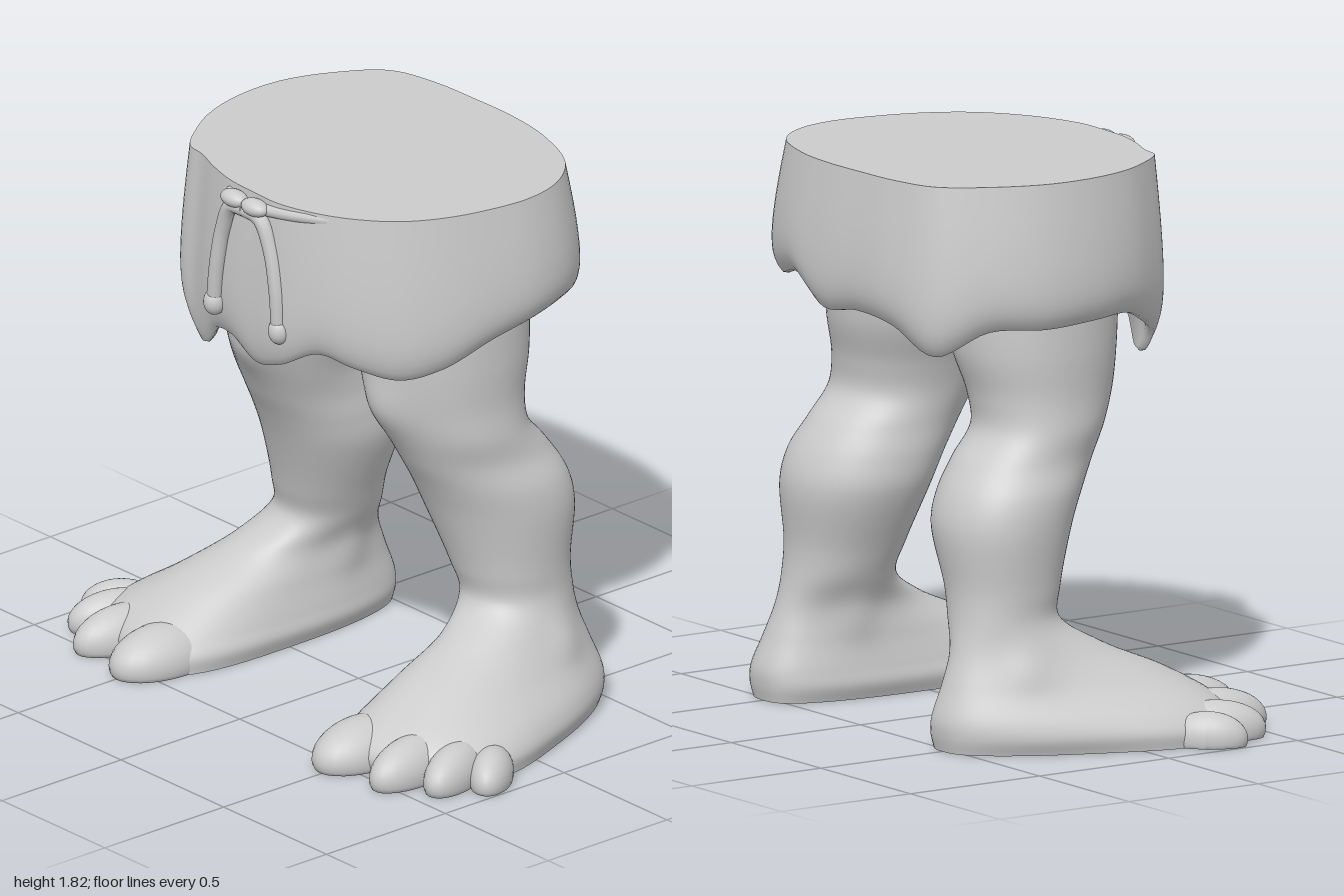
import * as THREE from 'three';

const material = new THREE.MeshStandardMaterial({ color: 0xcccccc, roughness: 0.8 });
const V = (x, y, z) => new THREE.Vector3(x, y, z);
const lerp = THREE.MathUtils.lerp;

function addMesh(parent, name, geometry) {
  const mesh = new THREE.Mesh(geometry, material);
  mesh.name = name;
  parent.add(mesh);
}

// Smooth skin over a stack of closed rings, all with the same point count
function loft(rings) {
  const n = rings[0].length, index = [];
  for (let r = 0; r < rings.length - 1; r++) {
    for (let i = 0; i < n; i++) {
      const a = r * n + i, b = r * n + (i + 1) % n;
      index.push(a, b, a + n, b, b + n, a + n);
    }
  }
  const geometry = new THREE.BufferGeometry().setFromPoints(rings.flat());
  geometry.setIndex(index);
  geometry.computeVertexNormals();
  return geometry;
}

// Flat lid between a ring and its middle
function lid(ring, facesUp) {
  const centre = ring.reduce((sum, p) => sum.add(p), V(0, 0, 0)).divideScalar(ring.length);
  const middle = ring.map(() => centre);
  return loft(facesUp ? [ring, middle] : [middle, ring]);
}

// Ellipsoid that is cut flat where it meets the ground
function blob(parent, name, [x, y, z], [rx, ry, rz], turn = 0) {
  const geometry = new THREE.SphereGeometry(1, 28, 20);
  geometry.scale(rx, ry, rz).rotateY(turn).translate(x, y, z);
  const pos = geometry.attributes.position;
  for (let i = 0; i < pos.count; i++) pos.setY(i, Math.max(0, pos.getY(i)));
  geometry.computeVertexNormals();
  addMesh(parent, name, geometry);
}

// Leg sections: y, zBack, zFront, xBack, xFront, half width at back and front
const LEG = [
  [0.00, -0.53, 0.44, 0.50, 0.66, 0.165, 0.33],
  [0.05, -0.54, 0.455, 0.50, 0.66, 0.19, 0.335],
  [0.10, -0.54, 0.43, 0.50, 0.65, 0.19, 0.305],
  [0.20, -0.505, 0.28, 0.495, 0.58, 0.17, 0.21],
  [0.30, -0.47, 0.06, 0.485, 0.52, 0.15, 0.155],
  [0.40, -0.45, -0.08, 0.465, 0.455, 0.16, 0.16],
  [0.50, -0.445, -0.065, 0.45, 0.43, 0.18, 0.18],
  [0.70, -0.465, 0.00, 0.425, 0.39, 0.235, 0.22],
  [0.80, -0.44, 0.045, 0.42, 0.38, 0.235, 0.22],
  [0.90, -0.38, 0.10, 0.405, 0.37, 0.215, 0.205],
  [1.00, -0.30, 0.145, 0.40, 0.36, 0.215, 0.21],
  [1.10, -0.30, 0.18, 0.38, 0.345, 0.225, 0.22],
  [1.25, -0.335, 0.21, 0.35, 0.325, 0.255, 0.25],
  [1.60, -0.345, 0.225, 0.32, 0.31, 0.28, 0.27],
];

// Soft bony swellings: centre, reach, push
const BUMPS = [
  [V(0.32, 1.09, 0.18), 0.11, V(0, 0, 0.035)],
  [V(0.34, 0.27, -0.27), 0.08, V(-0.02, 0, 0)],
  [V(0.64, 0.26, -0.30), 0.08, V(0.02, 0, 0)],
];

// Toes from big to small: centre, radii, outward turn
const TOES = [
  [[0.49, 0.03, 0.40], [0.12, 0.11, 0.20], 0.03],
  [[0.70, 0.03, 0.375], [0.092, 0.105, 0.19], 0.15],
  [[0.82, 0.03, 0.30], [0.08, 0.095, 0.17], 0.4],
  [[0.90, 0.025, 0.22], [0.07, 0.085, 0.13], 0.7],
];

function makeLeg(side) {
  const leg = new THREE.Group();
  leg.name = side > 0 ? 'leftLeg' : 'rightLeg';
  const N = 64, STEPS = 104;
  const power = (v, p) => Math.sign(v) * Math.abs(v) ** p;

  // One smooth curve up the leg for every angle around it; the foot is squarer and slants outward
  const columns = Array.from({ length: N }, (_, i) => {
    const a = i / N * Math.PI * 2;
    const points = LEG.map(([y, zb, zf, xb, xf, wb, wf]) => {
      const p = Math.min(0.95, 0.7 + 0.8 * y);
      const u = (power(Math.cos(a), p) + 1) / 2;
      const dx = lerp(wb, wf, u) * power(Math.sin(a), p);
      const slant = 0.45 * Math.max(0, 1 - y / 0.35) * u;
      return V(side * lerp(xb, xf, u) + dx, y, lerp(zb, zf, u) - slant * dx * side);
    });
    const column = new THREE.CatmullRomCurve3(points).getPoints(STEPS);
    for (const [centre, reach, push] of BUMPS) {
      const flip = V(side, 1, 1);
      const middle = centre.clone().multiply(flip), shift = push.clone().multiply(flip);
      column.forEach(p => p.addScaledVector(shift, Math.exp(-p.distanceToSquared(middle) / reach ** 2)));
    }
    return column;
  });
  const rings = Array.from({ length: STEPS + 1 }, (_, r) => columns.map(col => col[r]));
  addMesh(leg, 'legAndFoot', loft(rings));
  addMesh(leg, 'sole', lid(rings[0], false));

  TOES.forEach(([[x, y, z], radii, turn], i) => {
    blob(leg, 'toe' + (i + 1), [side * x, y, z], radii, side * turn);
  });
  return leg;
}

// Ragged hem from front middle round the left side: x, z, y
const HEM = [
  [0.02, 0.48, 1.23], [0.15, 0.48, 1.26], [0.30, 0.44, 1.33], [0.42, 0.38, 1.30],
  [0.54, 0.28, 1.27], [0.62, 0.15, 1.30], [0.67, -0.02, 1.37], [0.685, -0.20, 1.41],
  [0.64, -0.36, 1.42], [0.52, -0.50, 1.39], [0.30, -0.59, 1.43], [0.10, -0.62, 1.35],
  [-0.10, -0.62, 1.37], [-0.30, -0.61, 1.35], [-0.48, -0.56, 1.27], [-0.59, -0.41, 1.35],
  [-0.66, -0.22, 1.35], [-0.66, -0.02, 1.36], [-0.61, 0.15, 1.36], [-0.53, 0.28, 1.31],
  [-0.44, 0.38, 1.25], [-0.35, 0.40, 1.17], [-0.24, 0.44, 1.26], [-0.12, 0.47, 1.28],
];
const WAIST = 1.82;

function makeShorts() {
  const shorts = new THREE.Group();
  shorts.name = 'shorts';
  const outline = new THREE.CatmullRomCurve3(HEM.map(([x, z, y]) => V(x, y, z)), true);
  const hem = outline.getPoints(144).slice(0, -1);
  const waist = hem.map(p => V(p.x * 0.915, WAIST, p.z * (p.z > 0 ? 0.95 : 0.915)));
  const ceiling = s => hem.map(p => V(p.x * s, 1.52, p.z * s));
  const lining = (s, lift) => hem.map(p => V(p.x * s, p.y + lift, p.z * s));

  // Lining, rolled hem and outer cloth in one skin
  const rings = [ceiling(0.02), ceiling(0.86), lining(0.88, 0.012), lining(0.905, -0.002)];
  const ROWS = 20;
  for (let r = 0; r <= ROWS; r++) {
    const f = r / ROWS;
    const belly = 1 - 0.07 * Math.exp(-f * 9) + 0.012 * Math.sin(f * Math.PI);
    rings.push(hem.map((h, i) => h.clone().lerp(waist[i], f).multiply(V(belly, 1, belly))));
  }
  addMesh(shorts, 'cloth', loft(rings));
  addMesh(shorts, 'waistTop', lid(rings.at(-1), true));

  // Drawstring: waist cord, two hanging strands and the bow knot
  const cord = (name, points, radius) => addMesh(shorts, name,
    new THREE.TubeGeometry(new THREE.CatmullRomCurve3(points), 40, radius, 10));
  cord('waistCord', [V(-0.11, 1.78, 0.445), V(0, 1.775, 0.465), V(0.12, 1.785, 0.455),
    V(0.24, 1.795, 0.42), V(0.36, 1.8, 0.355)], 0.02);
  for (const s of [-1, 1]) {
    const end = s < 0 ? -0.165 : 0.15;
    cord('strand', [V(0, 1.76, 0.475), V(s * 0.07, 1.75, 0.475), V(s * 0.115, 1.66, 0.47),
      V(s * 0.145, 1.52, 0.47), V(end, 1.38, 0.465)], 0.026);
    blob(shorts, 'strandEnd', [end, 1.385, 0.462], [0.036, 0.045, 0.038]);
    blob(shorts, 'knotLoop', [s * 0.05, 1.785, 0.48], [0.055, 0.028, 0.035]);
  }
  return shorts;
}

export function createModel() {
  const model = new THREE.Group();
  model.name = 'lowerBody';
  model.add(makeShorts(), makeLeg(1), makeLeg(-1));
  return model;
}
